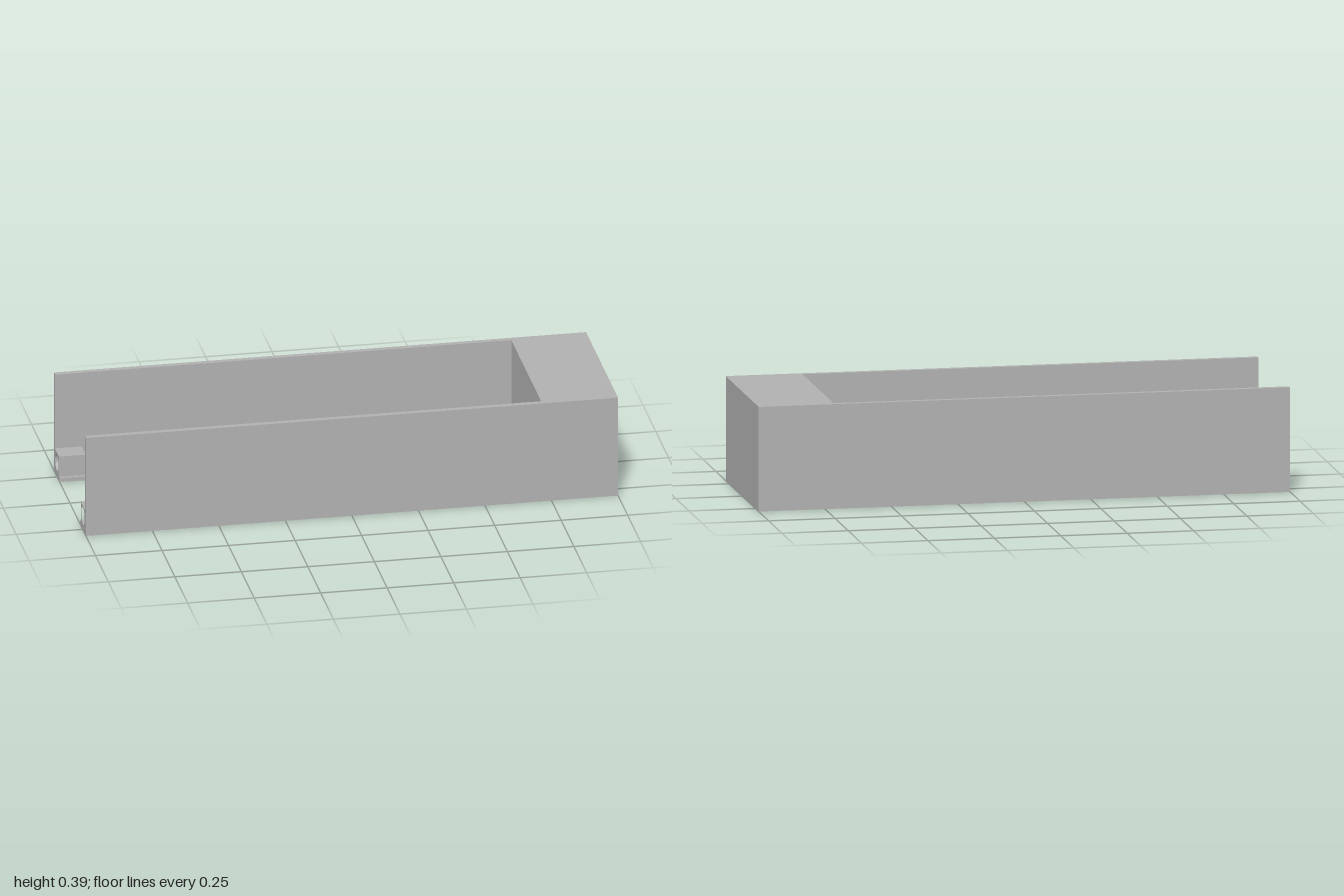
import * as THREE from 'three';

const X0 = -1;        // open end
const HEIGHT = 0.393;
const FLOOR = 0.016;  // ledge thickness
const RAIL = 0.097;   // top of rail lip and end blocks

// U-shaped slab, open towards -x, between an inner and an outer outline
function uSlab(name, material, start, inner, outer, y0, y1) {
  const s = new THREE.Shape([
    [start, outer.z], [outer.x, outer.z], [outer.x, -outer.z], [start, -outer.z],
    [start, -inner.z], [inner.x, -inner.z], [inner.x, inner.z], [start, inner.z],
  ].map(([x, z]) => new THREE.Vector2(x, z)));
  const geo = new THREE.ExtrudeGeometry(s, { depth: y1 - y0, bevelEnabled: false });
  geo.rotateX(-Math.PI / 2);
  geo.translate(0, y0, 0);
  const mesh = new THREE.Mesh(geo, material);
  mesh.name = name;
  return mesh;
}

export function createModel() {
  const group = new THREE.Group();
  group.name = 'railHousing';
  const grey = new THREE.MeshStandardMaterial({ color: 0xb0b0b0 });
  grey.name = 'plain grey';

  // Solid end with two thin side walls
  group.add(uSlab('wallsAndEndBlock', grey, X0,
    { z: 0.291, x: 0.715 }, { z: 0.3125, x: 1 }, 0, HEIGHT));

  // Thin ledge around the opening
  group.add(uSlab('ledge', grey, X0,
    { z: 0.2, x: 0.667 }, { z: 0.291, x: 0.715 }, 0, FLOOR));

  // Upright lip that makes a channel beside the walls
  group.add(uSlab('channelLip', grey, -0.9,
    { z: 0.212, x: 0.679 }, { z: 0.228, x: 0.691 }, FLOOR, RAIL));

  // Bored blocks closing the channel at the open end
  for (const side of [-1, 1]) {
    const zs = [0.212 * side, 0.291 * side];
    const s = new THREE.Shape([
      [zs[0], FLOOR], [zs[1], FLOOR], [zs[1], RAIL], [zs[0], RAIL],
    ].map(([z, y]) => new THREE.Vector2(-z, y)));
    const bore = new THREE.Path();
    bore.absarc(-0.255 * side, 0.056, 0.033, 0, Math.PI * 2, true);
    s.holes.push(bore);
    const geo = new THREE.ExtrudeGeometry(s, { depth: 0.1, bevelEnabled: false, curveSegments: 32 });
    geo.rotateY(Math.PI / 2);
    geo.translate(X0, 0, 0);
    const block = new THREE.Mesh(geo, grey);
    block.name = side > 0 ? 'frontBoredBlock' : 'backBoredBlock';
    group.add(block);
  }
  return group;
}
